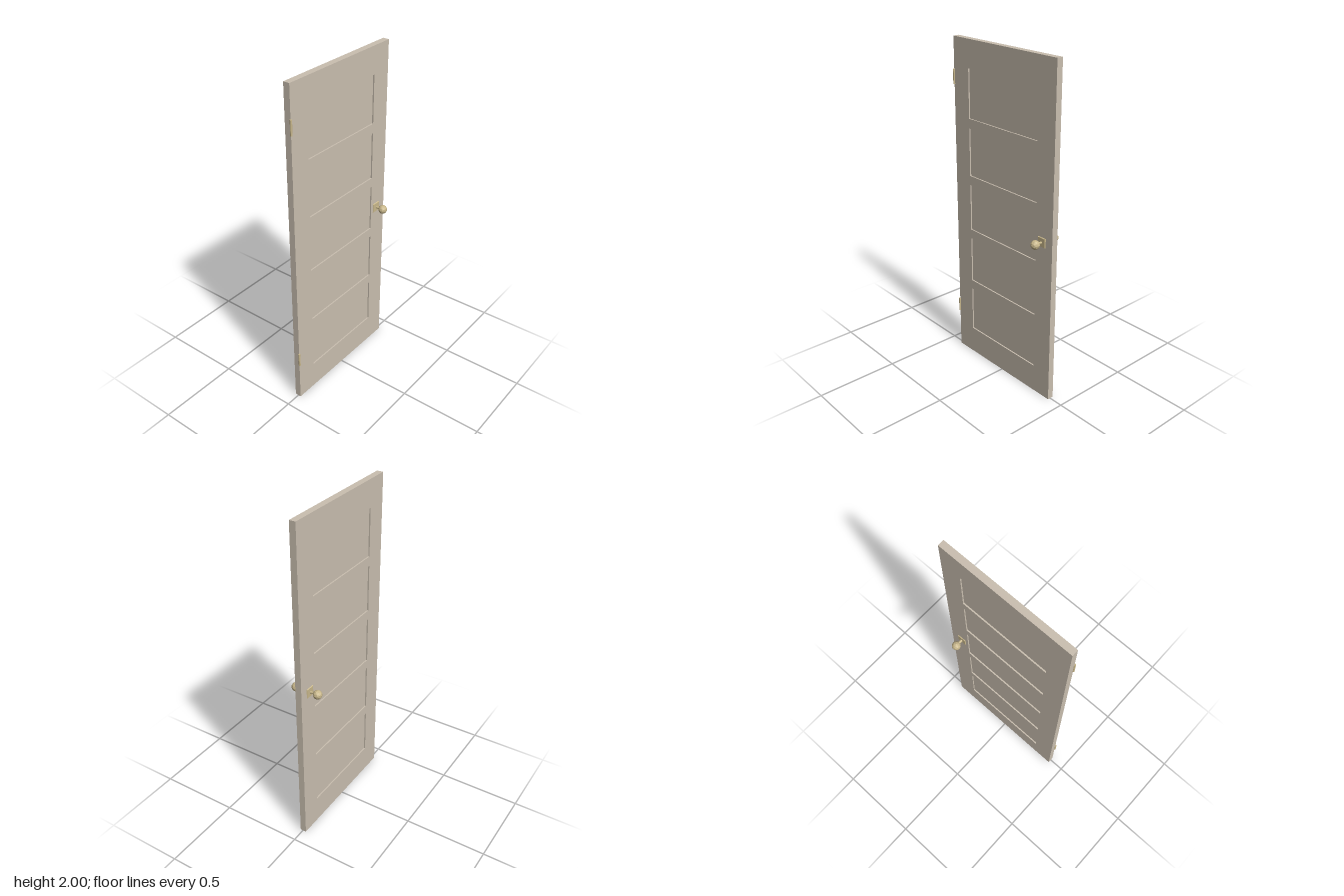
import * as THREE from 'three';

export function createModel() {
  const door = new THREE.Group();
  door.name = 'door';
  const paint = new THREE.MeshStandardMaterial({ color: 0xcabfb0, flatShading: true });
  paint.name = 'beige paint';
  const brass = new THREE.MeshStandardMaterial({ color: 0xc9b88c, flatShading: true });
  brass.name = 'pale brass';

  const add = (parent, name, geometry, material, x = 0, y = 0, z = 0) => {
    const mesh = new THREE.Mesh(geometry, material);
    mesh.name = name;
    mesh.position.set(x, y, z);
    parent.add(mesh);
    return mesh;
  };
  const rectangle = (PathType, x0, y0, x1, y1) => new PathType([
    new THREE.Vector2(x0, y0), new THREE.Vector2(x1, y0),
    new THREE.Vector2(x1, y1), new THREE.Vector2(x0, y1),
  ]);

  const left = -0.406, right = 0.411, depth = 0.038, recess = 0.008, midZ = -0.002;
  const panelLeft = -0.28, panelRight = 0.284, panelHeight = 0.287;

  // Rails and stiles: one slab with five openings, and a recessed panel in each
  const outline = rectangle(THREE.Shape, left, 0, right, 2);
  for (let i = 0; i < 5; i++) {
    const bottom = 0.17 + i * 0.345;
    outline.holes.push(rectangle(THREE.Path, panelLeft, bottom, panelRight, bottom + panelHeight));
    add(door, 'recessedPanel' + (i + 1),
      new THREE.BoxGeometry(panelRight - panelLeft, panelHeight, depth - 2 * recess), paint,
      (panelLeft + panelRight) / 2, bottom + panelHeight / 2, midZ);
  }
  add(door, 'doorFrame', new THREE.ExtrudeGeometry(outline, { depth, bevelEnabled: false }),
    paint, 0, 0, midZ - depth / 2);

  // Handle on each face: bevelled square plate, stem and faceted knob
  const plate = new THREE.CylinderGeometry(0.026 * Math.SQRT2, 0.029 * Math.SQRT2, 0.005, 4);
  plate.rotateY(Math.PI / 4).rotateX(Math.PI / 2);
  const stem = new THREE.CylinderGeometry(0.007, 0.007, 0.045, 8).rotateX(Math.PI / 2);
  const knob = new THREE.IcosahedronGeometry(0.027, 1);
  for (const [name, turn] of [['frontHandle', 0], ['backHandle', Math.PI]]) {
    const handle = new THREE.Group();
    handle.name = name;
    handle.position.set(0.332, 0.99, midZ);
    handle.rotation.y = turn;
    add(handle, 'plate', plate, brass, 0, 0, depth / 2 + 0.0025);
    add(handle, 'stem', stem, brass, 0, 0, depth / 2 + 0.0225);
    add(handle, 'knob', knob, brass, 0, 0, 0.07);
    door.add(handle);
  }

  // Hinge barrels on the front edge
  const barrel = new THREE.CylinderGeometry(0.006, 0.006, 0.086, 10);
  add(door, 'upperHinge', barrel, brass, left, 1.772, 0.019);
  add(door, 'lowerHinge', barrel, brass, left, 0.293, 0.019);

  return door;
}
